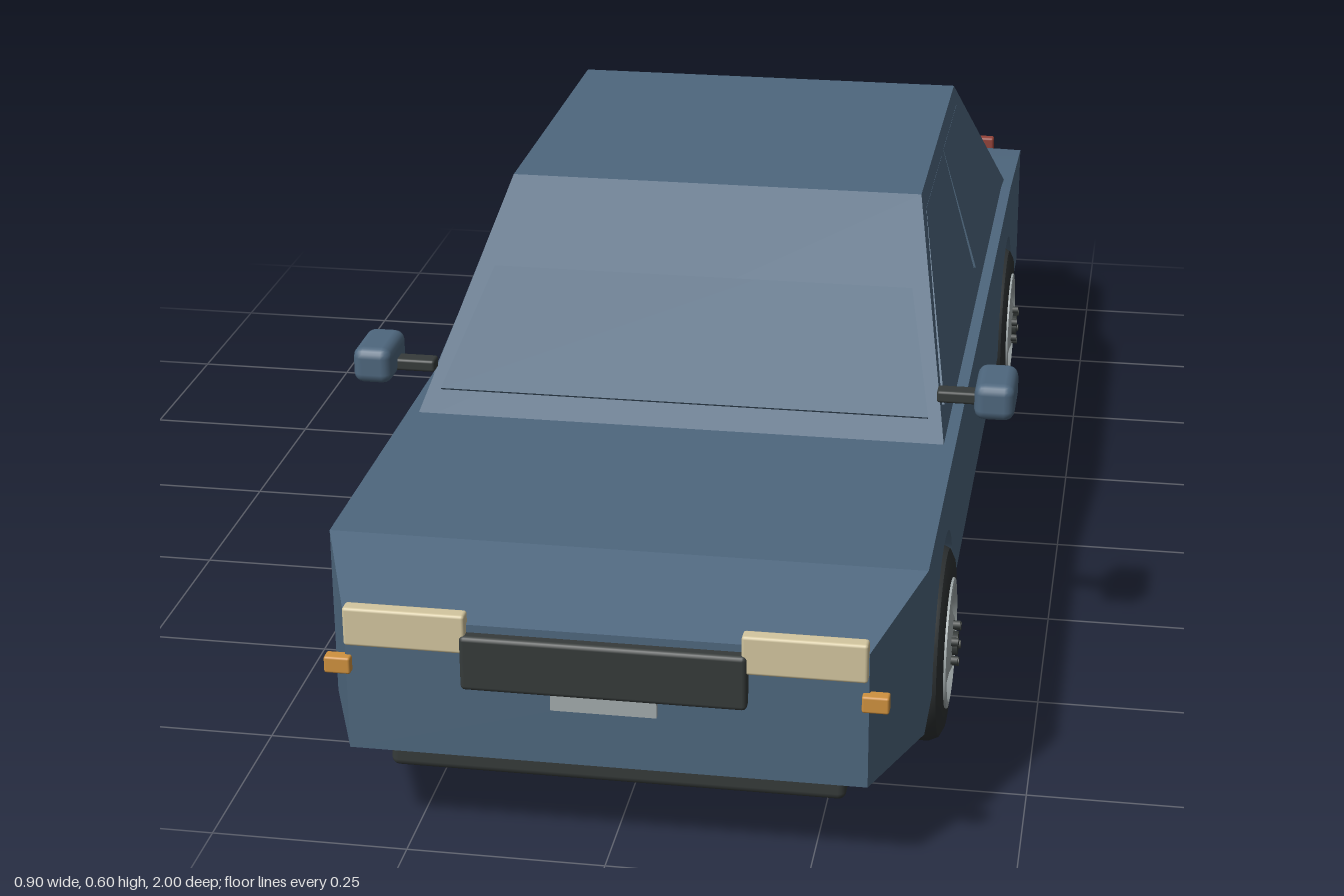
import * as THREE from 'three';
import { RoundedBoxGeometry } from 'three/addons/geometries/RoundedBoxGeometry.js';
import { toCreasedNormals } from 'three/addons/utils/BufferGeometryUtils.js';

function material(name, color) {
  const m = new THREE.MeshStandardMaterial({ color });
  m.name = name;
  return m;
}

export function createModel() {
  const car = new THREE.Group();
  car.name = 'car';
  const paint = material('bluePaint', 0x4e677e);
  const dark = material('darkTrim', 0x363b3a);
  const rubber = material('rubber', 0x2e3233);
  const silver = material('silver', 0xa3acad);
  const underGrey = material('underbodyGrey', 0x626d6c);
  const cream = material('headlightCream', 0xd3c69f);
  const amber = material('amber', 0xcf913f);
  const red = material('tailRed', 0x934239);

  function add(name, geometry, mat, parent = car) {
    const mesh = new THREE.Mesh(geometry, mat);
    mesh.name = name;
    parent.add(mesh);
    return mesh;
  }
  // box given by its minimum and maximum corners, optionally rounded
  function block(name, mat, [x0, y0, z0], [x1, y1, z1], radius = 0, parent = car) {
    const size = [x1 - x0, y1 - y0, z1 - z0];
    const g = radius ? new RoundedBoxGeometry(...size, 2, radius) : new THREE.BoxGeometry(...size);
    const mesh = add(name, g, mat, parent);
    mesh.position.set((x0 + x1) / 2, (y0 + y1) / 2, (z0 + z1) / 2);
    return mesh;
  }
  // box whose corners are placed by a rule on the signs of x, y, z
  function hull(name, rule) {
    const g = new THREE.BoxGeometry(2, 2, 2);
    const p = g.attributes.position;
    for (let i = 0; i < p.count; i++) p.setXYZ(i, ...rule(p.getX(i), p.getY(i) > 0, p.getZ(i) > 0));
    g.computeVertexNormals();
    return add(name, g, paint);
  }

  // main body, with arches cut right through
  const W = 0.375, FLOOR = 0.13, ARCH = 0.148;
  const axles = [-0.57, 0.595];
  const side = new THREE.Shape();
  side.moveTo(-0.885, FLOOR);
  for (const z of axles) {
    side.lineTo(z - ARCH, FLOOR);
    side.absarc(z, FLOOR, ARCH, Math.PI, 0, true);
  }
  side.lineTo(0.845, FLOOR);
  side.lineTo(0.845, 0.355);
  side.lineTo(-0.62, 0.355);
  side.lineTo(-0.885, 0.336);
  const bodyGeo = new THREE.ExtrudeGeometry(side, { depth: 2 * W, bevelEnabled: false, curveSegments: 20 });
  bodyGeo.rotateY(-Math.PI / 2).translate(W, 0, 0);
  add('body', toCreasedNormals(bodyGeo, 0.5), paint);

  // tapered ends and the cabin
  hull('nose', (x, top, front) => [x * (front ? 0.32 : W), top ? (front ? 0.31 : 0.355) : FLOOR, front ? 0.985 : 0.845]);
  hull('tail', (x, top, front) => [x * (front ? W : 0.32), top ? (front ? 0.336 : 0.305) : FLOOR, front ? -0.885 : -0.985]);
  hull('cabin', (x, top, front) => top
    ? [x * 0.293, 0.595, front ? 0.14 : -0.395]
    : [x * 0.362, 0.345, front ? 0.475 : -0.68]);

  // thin panes lying on the cabin and sinking into it towards the roof
  function pane(name, points, lean, yaw, x, y, z) {
    const shape = new THREE.Shape(points.map(([a, b]) => new THREE.Vector2(a, b)));
    const mesh = add(name, new THREE.ExtrudeGeometry(shape, { depth: 0.004, bevelEnabled: false }), paint);
    mesh.rotation.set(-lean, yaw, 0, 'YXZ');
    mesh.position.set(x, y, z);
  }
  const screen = [[-0.335, 0.055], [0.335, 0.055], [0.275, 0.36], [-0.275, 0.36]];
  pane('windscreen', screen, 0.945, 0, 0, 0.345, 0.475);
  pane('rearWindow', screen, 0.865, Math.PI, 0, 0.345, -0.68);
  for (const s of [-1, 1]) {
    const windows = [
      [[0.4, 0.043], [0.13, 0.235], [-0.11, 0.235], [-0.11, 0.043]],
      [[-0.14, 0.043], [-0.14, 0.235], [-0.37, 0.235], [-0.6, 0.043]],
    ];
    for (const w of windows) {
      const points = w.map(([z, v]) => [-s * z, v]);
      pane('sideWindow', points, 0.285, s * Math.PI / 2, s * 0.362, 0.345, 0);
    }
  }

  // underbody
  block('chassis', dark, [-0.287, 0.072, -0.92], [0.287, 0.165, 0.925], 0.01);
  block('underTray', underGrey, [-0.25, 0.053, -0.83], [0.25, 0.085, 0.83], 0.01);

  // front and rear details
  block('grille', dark, [-0.175, 0.228, 0.975], [0.175, 0.3, 1.0], 0.006);
  block('frontPlate', silver, [-0.065, 0.207, 0.98], [0.065, 0.233, 0.994]);
  block('rearPlate', silver, [-0.065, 0.208, -1.0], [0.065, 0.243, -0.98]);
  for (const s of [-1, 1]) {
    const pair = (name, mat, x0, x1, y0, y1, z0, z1, r) =>
      block(name, mat, [s > 0 ? x0 : -x1, y0, z0], [s > 0 ? x1 : -x0, y1, z1], r);
    pair('headlight', cream, 0.168, 0.319, 0.275, 0.326, 0.976, 0.996, 0.004);
    pair('indicator', amber, 0.312, 0.345, 0.236, 0.258, 0.978, 0.996, 0.003);
    pair('tailLight', red, 0.185, 0.322, 0.28, 0.326, -0.994, -0.976, 0.004);
    pair('mirrorArm', dark, 0.345, 0.405, 0.399, 0.416, 0.4, 0.425, 0.004);
    pair('mirror', paint, 0.397, 0.451, 0.391, 0.442, 0.371, 0.462, 0.014);
  }

  // wheels: profiles are [radius, distance along the axle]
  const lathe = (points) => toCreasedNormals(
    new THREE.LatheGeometry(points.map(([r, h]) => new THREE.Vector2(r, h)), 40), 0.6);
  const tyreGeo = lathe([[0, 0.297], [0.112, 0.297], [0.124, 0.302], [0.13, 0.315],
    [0.13, 0.365], [0.124, 0.378], [0.112, 0.384], [0.086, 0.384], [0.084, 0.37], [0, 0.37]]);
  const rimGeo = lathe([[0.087, 0.372], [0.086, 0.387], [0.078, 0.388], [0.072, 0.38],
    [0.04, 0.386], [0.034, 0.389], [0, 0.389]]);
  const hubGeo = new THREE.CylinderGeometry(0.016, 0.016, 0.016, 16).translate(0, 0.388, 0);
  const boltGeo = new THREE.CylinderGeometry(0.006, 0.006, 0.016, 8).translate(0, 0.39, 0);
  for (const s of [-1, 1]) for (const z of axles) {
    const wheel = new THREE.Group();
    wheel.name = 'wheel';
    wheel.position.set(0, 0.13, z);
    wheel.rotation.z = -s * Math.PI / 2;
    car.add(wheel);
    add('tyre', tyreGeo, rubber, wheel);
    add('rim', rimGeo, silver, wheel);
    add('hubCap', hubGeo, dark, wheel);
    for (let i = 0; i < 6; i++) {
      const a = i * Math.PI / 3;
      add('wheelBolt', boltGeo, dark, wheel).position.set(0.027 * Math.cos(a), 0, 0.027 * Math.sin(a));
    }
  }
  return car;
}
